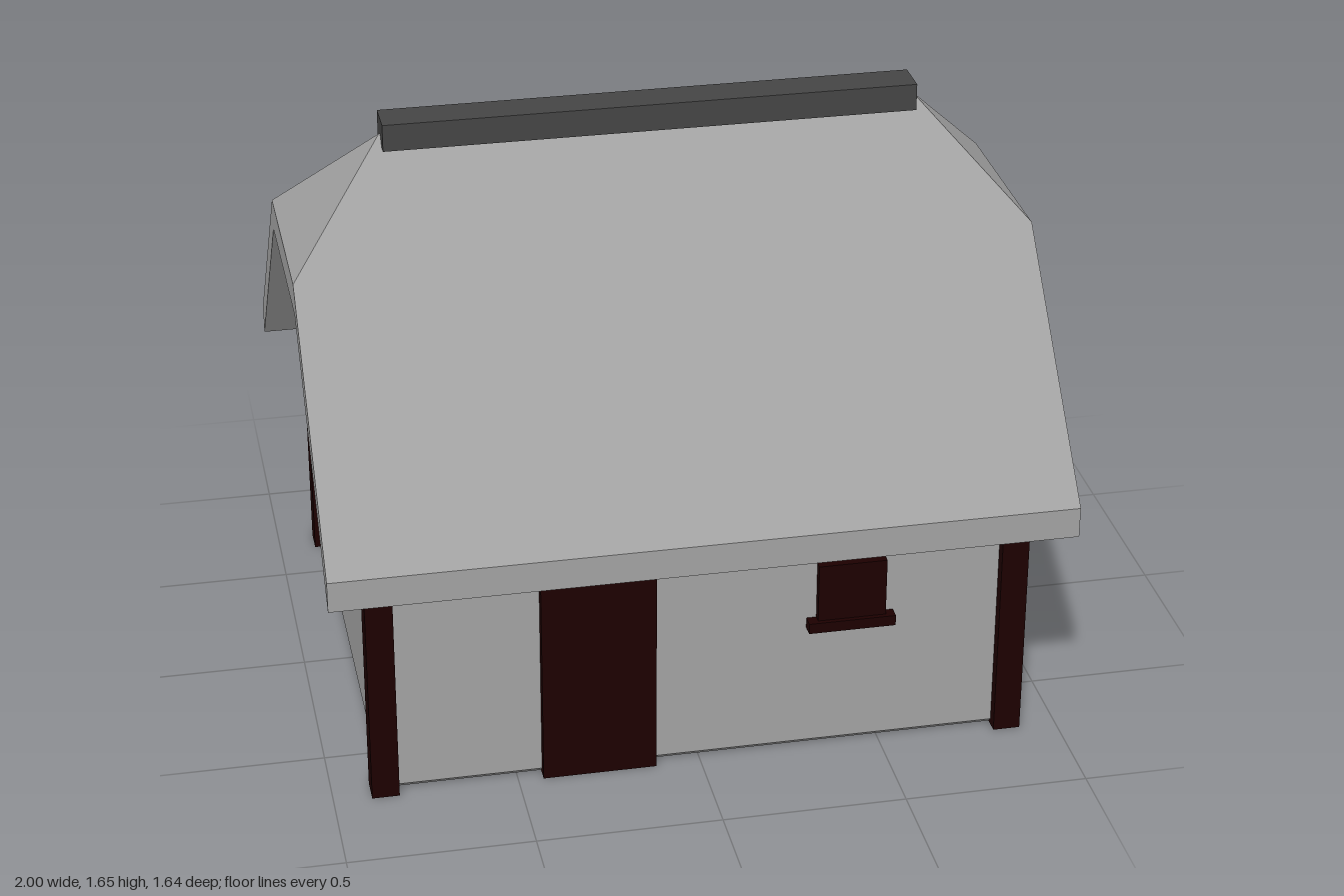
import * as THREE from 'three';

const mat = (name, color) => {
  const m = new THREE.MeshStandardMaterial({ color });
  m.name = name;
  return m;
};

export function createModel() {
  const group = new THREE.Group();
  const plaster = mat('light grey', 0xa2a2a2);
  const ridgeGrey = mat('ridge grey', 0x454545);
  const timber = mat('dark timber', 0x1c0000);

  const add = (name, geometry, material) => {
    const mesh = new THREE.Mesh(geometry, material);
    mesh.name = name;
    group.add(mesh);
    return mesh;
  };
  // Box given by its limits on each axis
  const box = (name, material, [x0, x1], [y0, y1], [z0, z1]) => {
    const mesh = add(name, new THREE.BoxGeometry(x1 - x0, y1 - y0, z1 - z0), material);
    mesh.position.set((x0 + x1) / 2, (y0 + y1) / 2, (z0 + z1) / 2);
  };
  const polygon = (pts) => new THREE.Shape(pts.map(([x, y]) => new THREE.Vector2(x, y)));

  // Wall block with chamfered top and bottom edges
  const wx = 0.865, wz = 0.688, wallTop = 0.79, chamfer = 0.016;
  const ix = wx - chamfer, iz = wz - chamfer;
  const wallGeo = new THREE.ExtrudeGeometry(polygon([[-ix, -iz], [ix, -iz], [ix, iz], [-ix, iz]]), {
    depth: wallTop - 2 * chamfer, bevelEnabled: true, bevelSegments: 1,
    bevelSize: chamfer, bevelThickness: chamfer,
  });
  wallGeo.translate(0, 0, chamfer).rotateX(-Math.PI / 2);
  add('walls', wallGeo, plaster);

  // Gable infill up to the flat soffit
  const gableGeo = new THREE.ExtrudeGeometry(
    polygon([[-wz, wallTop], [wz, wallTop], [0.272, 1.235], [-0.272, 1.235]]),
    { depth: wx * 2, bevelEnabled: false });
  gableGeo.translate(0, 0, -wx).rotateY(Math.PI / 2);
  add('gables', gableGeo, plaster);

  // Corner posts
  for (const sx of [-1, 1]) for (const sz of [-1, 1]) {
    const x = sx * 0.86, z = sz * 0.683;
    box('cornerPost', timber, [x - 0.037, x + 0.037], [0, 0.79], [z - 0.037, z + 0.037]);
  }

  // Door and window on the front
  box('door', timber, [-0.432, -0.122], [0, 0.69], [0.66, 0.715]);
  box('doorLintel', timber, [-0.432, -0.122], [0.65, 0.69], [0.66, 0.723]);
  box('window', timber, [0.32, 0.507], [0.4, 0.57], [0.66, 0.71]);
  box('windowSill', timber, [0.293, 0.532], [0.373, 0.403], [0.66, 0.723]);

  add('roof', roofGeometry(), plaster);
  box('ridgeCap', ridgeGrey, [-0.727, 0.727], [1.58, 1.655], [-0.054, 0.054]);
  return group;
}

// Half-hipped roof with a flat soffit under the hips
function roofGeometry() {
  const thick = 0.086;
  const eave = (sx, sz) => [sx, 0.735, sz * 0.82];
  const hip = (sx, sz) => [sx, 1.32, sz * 0.272];
  const ridge = (sx) => [sx * 0.73, 1.61, 0];
  const down = ([x, y, z]) => [x, y - thick, z];
  const pos = [];
  // Convex polygon as a fan, counter-clockwise from its front
  const face = (pts) => {
    for (let i = 1; i < pts.length - 1; i++) pos.push(...pts[0], ...pts[i], ...pts[i + 1]);
  };

  // s turns each half of the roof by 180 degrees
  for (const s of [1, -1]) {
    // Main slope and hip
    face([eave(-s, s), eave(s, s), hip(s, s), ridge(s), ridge(-s), hip(-s, s)]);
    face([hip(s, s), hip(s, -s), ridge(s)]);
    // Underside of the slope
    face([hip(-s, s), hip(s, s), eave(s, s), eave(-s, s)].map(down));
    // Eave and gable edges
    const rim = [eave(-s, s), eave(s, s), hip(s, s), hip(s, -s), eave(s, -s)];
    for (let i = 0; i < rim.length - 1; i++) {
      face([down(rim[i]), down(rim[i + 1]), rim[i + 1], rim[i]]);
    }
  }
  // Flat soffit
  face([hip(-1, -1), hip(1, -1), hip(1, 1), hip(-1, 1)].map(down));

  const geo = new THREE.BufferGeometry();
  geo.setAttribute('position', new THREE.Float32BufferAttribute(pos, 3));
  geo.computeVertexNormals();
  return geo;
}
